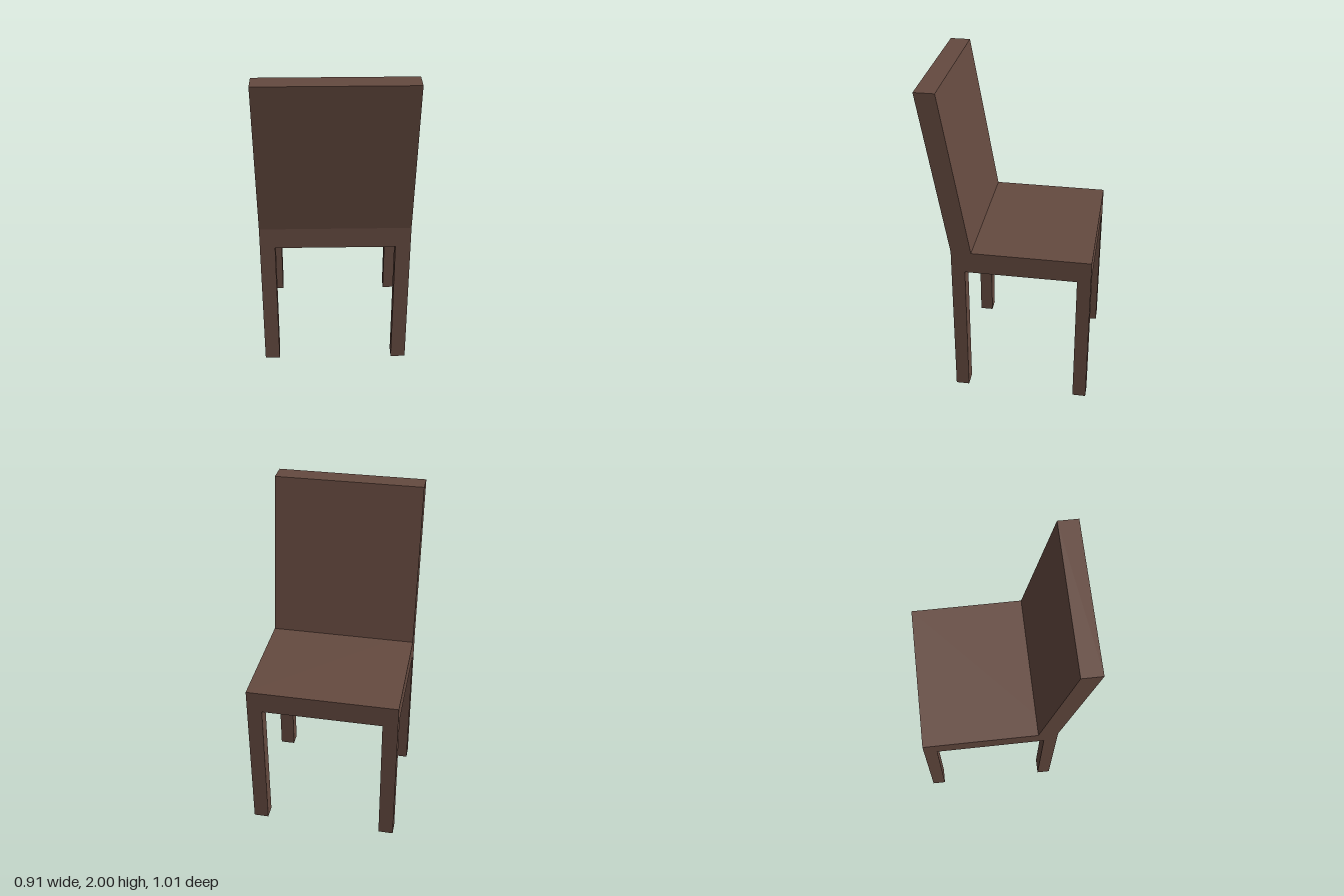
import * as THREE from 'three';

export function createModel() {
  const chair = new THREE.Group();
  chair.name = 'chair';
  const brown = new THREE.MeshStandardMaterial({ color: 0x654a40 });
  brown.name = 'dark brown wood';

  const halfWidth = 0.457;
  const seatFront = -0.502, seatBack = 0.335;
  const seatBottom = 0.87, seatTop = 1.005;

  // Box given by its lowest and highest corners
  function addBox(name, [x0, y0, z0], [x1, y1, z1]) {
    const geometry = new THREE.BoxGeometry(x1 - x0, y1 - y0, z1 - z0);
    geometry.translate((x0 + x1) / 2, (y0 + y1) / 2, (z0 + z1) / 2);
    const mesh = new THREE.Mesh(geometry, brown);
    mesh.name = name;
    chair.add(mesh);
    return mesh;
  }

  addBox('seat', [-halfWidth, seatBottom, seatFront], [halfWidth, seatTop, seatBack]);

  // Four square legs, flush with the seat corners
  const legX = 0.092, legZ = 0.082;
  for (const [side, x] of [['right', -halfWidth], ['left', halfWidth - legX]]) {
    for (const [end, z] of [['Narrow', seatFront], ['Backrest', seatBack - legZ]]) {
      const name = side + (end === 'Narrow' ? 'OpenSideLeg' : 'BackrestSideLeg');
      addBox(name, [x, 0, z], [x + legX, seatBottom, z + legZ]);
    }
  }

  // Backrest: a slab sheared so that it leans outward while its ends stay level
  const backrest = addBox('backrest', [-halfWidth, seatTop, 0.213], [halfWidth, 2, seatBack]);
  const position = backrest.geometry.attributes.position;
  const lean = 0.169 / (2 - seatTop);
  for (let i = 0; i < position.count; i++) {
    position.setZ(i, position.getZ(i) + (position.getY(i) - seatTop) * lean);
  }
  backrest.geometry.computeVertexNormals();

  return chair;
}
